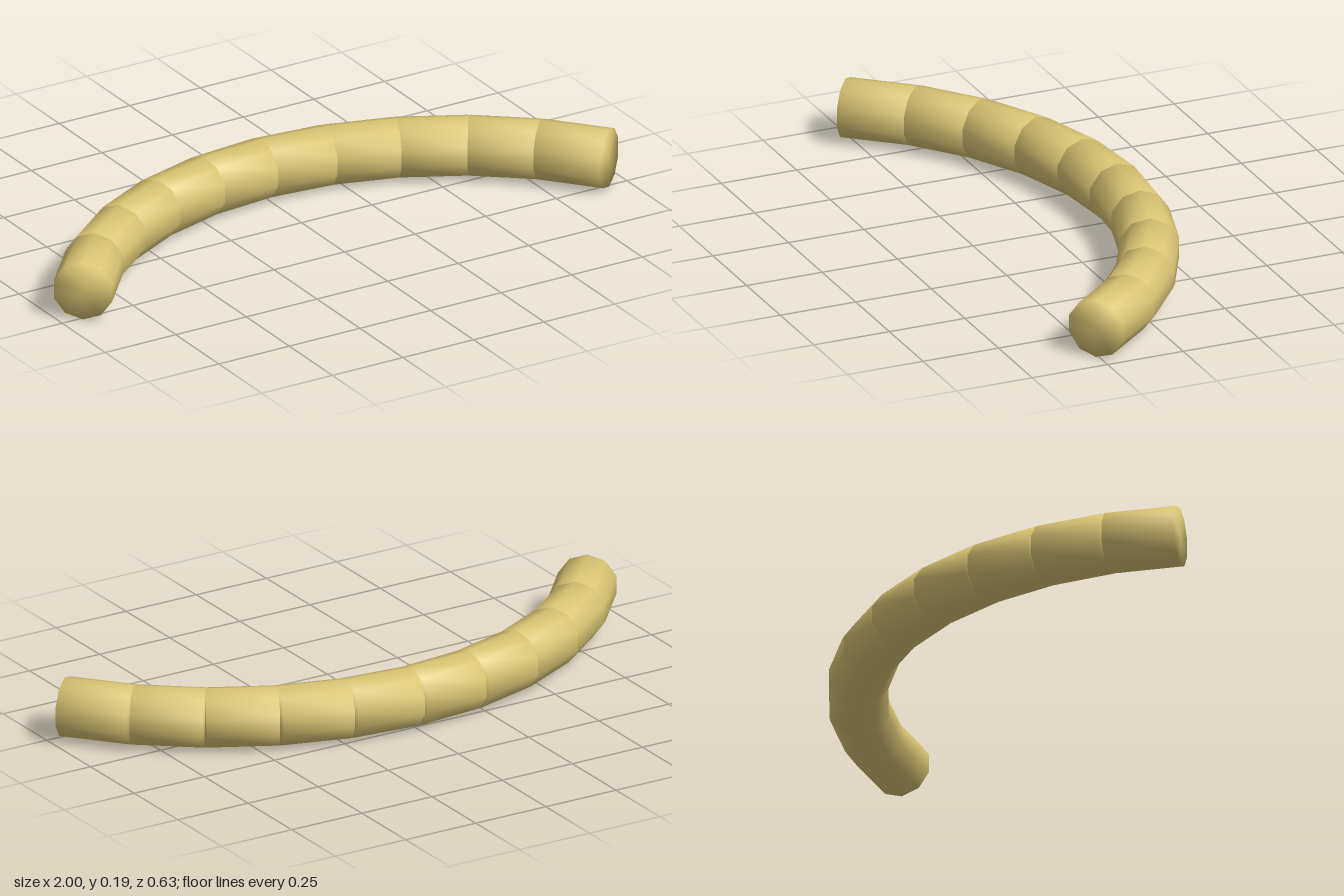
import * as THREE from 'three';
import { mergeVertices } from 'three/addons/utils/BufferGeometryUtils.js';

const RADIUS = 0.094, LENGTH = 0.223, SIDES = 10;
const ARC_RADIUS = 1.13, ARC_CENTER_Z = 0.9075;
const STEP = THREE.MathUtils.degToRad(11), COUNT = 10;

// Closed ten-sided log lying along x, with normals smoothed over the end caps
function logGeometry() {
  const geo = new THREE.CylinderGeometry(RADIUS, RADIUS, LENGTH, SIDES);
  geo.rotateZ(-Math.PI / 2).rotateX(Math.PI / 2);
  geo.deleteAttribute('normal');
  geo.deleteAttribute('uv');
  const merged = mergeVertices(geo, 1e-4);
  merged.computeVertexNormals();
  return merged;
}

export function createModel() {
  const group = new THREE.Group();
  group.name = 'curvedSegmentRow';
  const straw = new THREE.MeshStandardMaterial({ color: 0xd8c573 });
  straw.name = 'straw';
  const geo = logGeometry();

  // Equal segments laid end to end along an arc that bows to the back
  for (let i = 0; i < COUNT; i++) {
    const a = (i - (COUNT - 1) / 2) * STEP;
    const segment = new THREE.Mesh(geo, straw);
    segment.name = `segment${i + 1}`;
    segment.position.set(ARC_RADIUS * Math.sin(a), RADIUS, ARC_CENTER_Z - ARC_RADIUS * Math.cos(a));
    segment.rotation.y = -a;
    group.add(segment);
  }
  return group;
}
